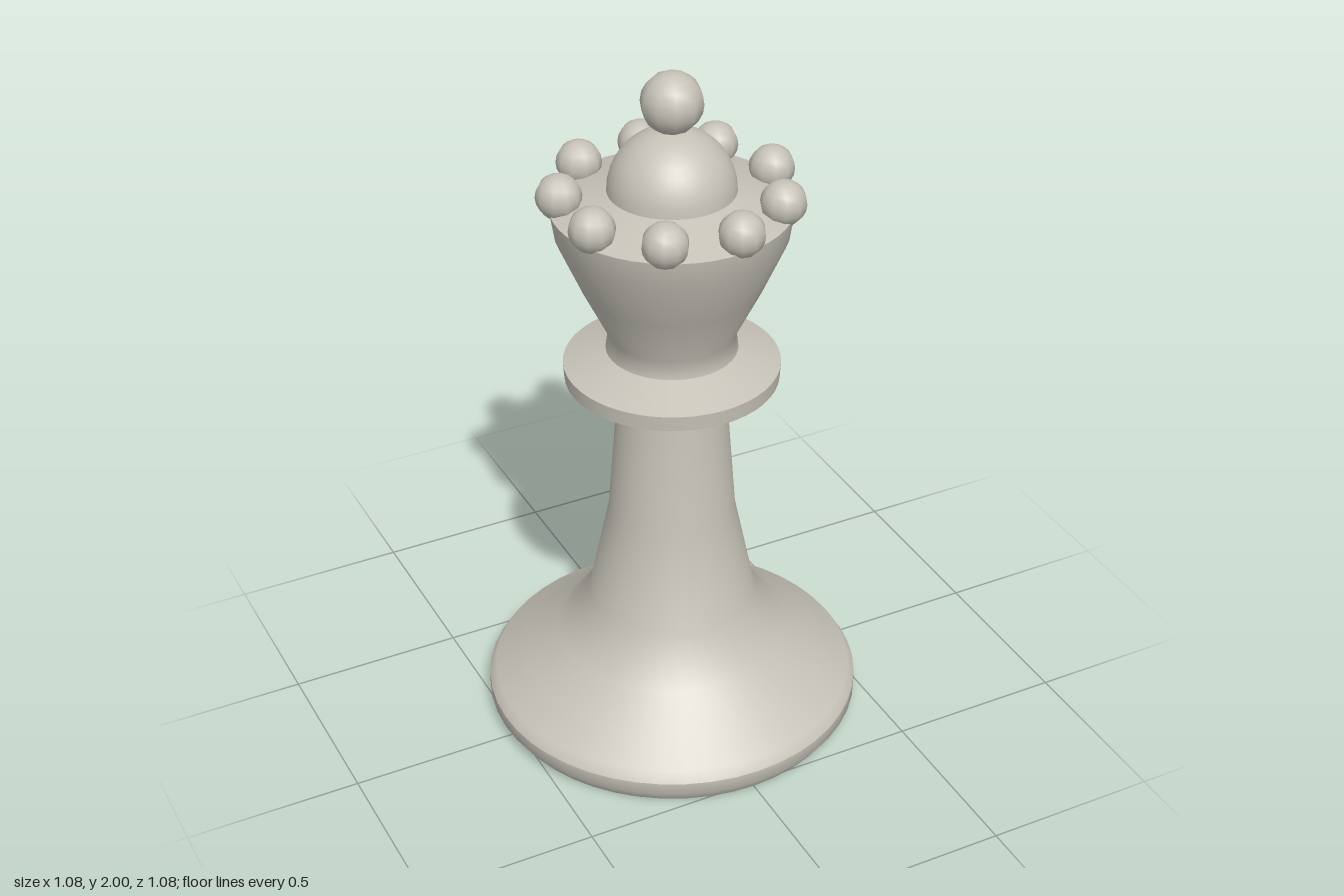
import * as THREE from 'three';

export function createModel() {
  const group = new THREE.Group();
  const ivory = new THREE.MeshStandardMaterial({ color: 0xc6c2b8 });
  ivory.name = 'warm grey';

  const add = (name, geometry, x = 0, y = 0, z = 0) => {
    const mesh = new THREE.Mesh(geometry, ivory);
    mesh.name = name;
    mesh.position.set(x, y, z);
    group.add(mesh);
    return mesh;
  };
  // Turned section: smooth along its profile, with a sharp edge at each end
  const turn = (name, profile) =>
    add(name, new THREE.LatheGeometry(profile.map(([r, y]) => new THREE.Vector2(r, y)), 48));

  // Foot
  turn('baseUnderside', [[0, 0], [0.515, 0]]);
  turn('baseRim', [[0.515, 0], [0.54, 0.037], [0.54, 0.074]]);

  // Shoulder sweeping up into the stem
  turn('stem', [
    [0.54, 0.074], [0.52, 0.105], [0.465, 0.132], [0.438, 0.17],
    [0.335, 0.24], [0.24, 0.37], [0.18, 0.66], [0.152, 1.03],
  ]);

  // Collar
  turn('collarUnderside', [[0.152, 1.03], [0.297, 1.095]]);
  turn('collarRim', [[0.297, 1.095], [0.3, 1.14]]);
  turn('collarTop', [[0.3, 1.14], [0.18, 1.183]]);

  // Flared crown and its gently sloped top
  turn('crown', [[0.182, 1.183], [0.175, 1.235], [0.25, 1.39], [0.315, 1.54], [0.328, 1.62]]);
  turn('crownTop', [[0.328, 1.62], [0.172, 1.665]]);

  // Dome
  const dome = [];
  for (let i = 0; i <= 10; i++) {
    const a = (i / 10) * Math.PI / 2;
    dome.push([i === 10 ? 0 : 0.174 * Math.cos(a), 1.663 + 0.174 * Math.sin(a)]);
  }
  turn('dome', dome);

  // Finial and ring of nine beads
  add('finial', new THREE.SphereGeometry(0.085, 10, 10), 0, 1.915, 0);
  const bead = new THREE.SphereGeometry(0.063, 10, 10);
  for (let i = 0; i < 9; i++) {
    const a = (i / 9) * Math.PI * 2;
    add('crownBead' + (i + 1), bead, 0.3 * Math.cos(a), 1.66, 0.3 * Math.sin(a)).rotation.y = -a;
  }
  return group;
}
